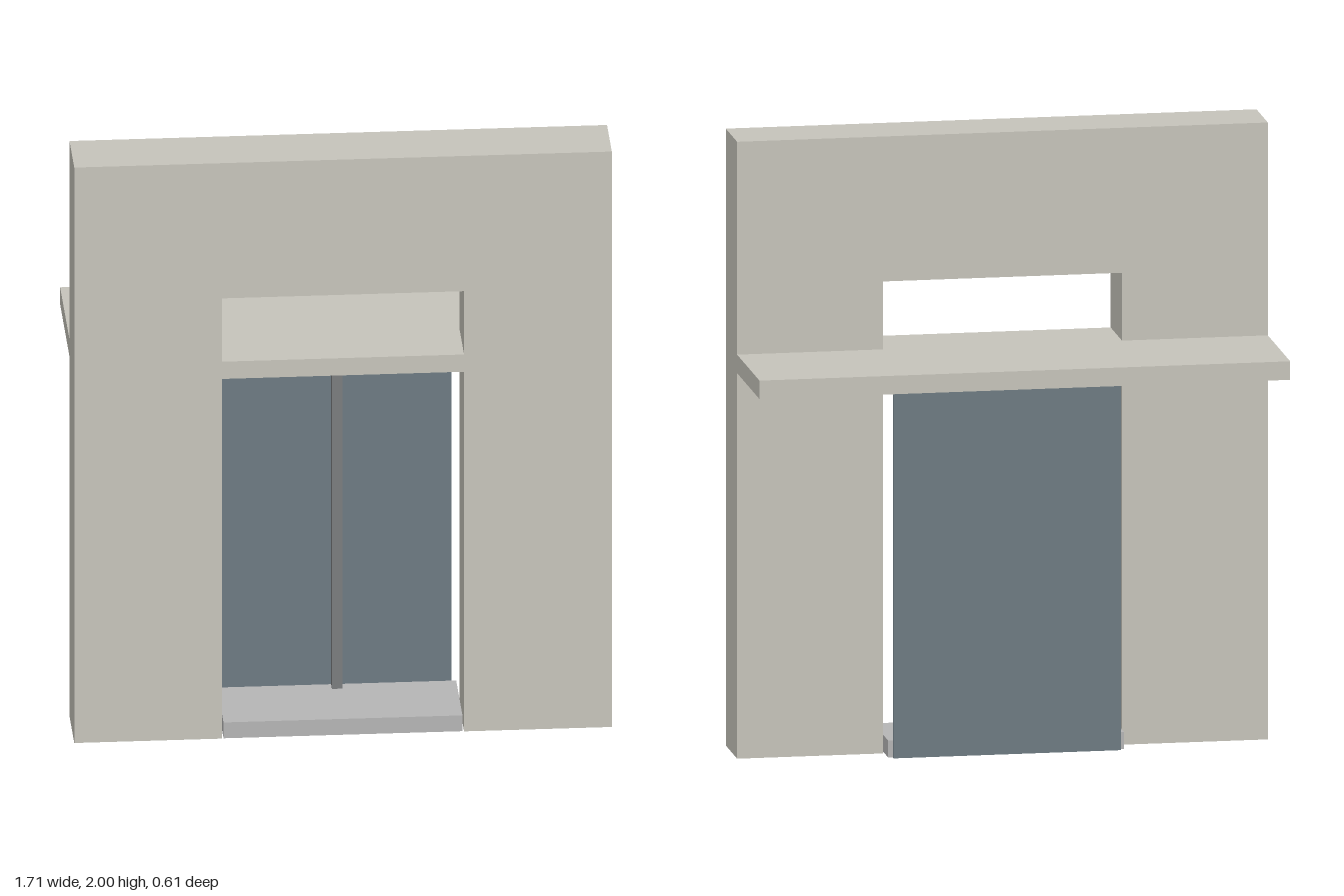
import * as THREE from 'three';

const material = (color) => new THREE.MeshStandardMaterial({ color });

export function createModel() {
  const model = new THREE.Group();
  const concrete = material(0xc9c7be);

  // Adds a box given by its minimum and maximum on each axis
  const addBox = (name, [x0, x1], [y0, y1], [z0, z1], mat) => {
    const mesh = new THREE.Mesh(new THREE.BoxGeometry(x1 - x0, y1 - y0, z1 - z0), mat);
    mesh.position.set((x0 + x1) / 2, (y0 + y1) / 2, (z0 + z1) / 2);
    mesh.name = name;
    model.add(mesh);
  };

  // Wall with the doorway notched out of its foot
  const outline = [
    [-0.855, 0], [-0.385, 0], [-0.385, 1.53], [0.385, 1.53],
    [0.385, 0], [0.855, 0], [0.855, 2], [-0.855, 2],
  ].map(([x, y]) => new THREE.Vector2(x, y));
  const wall = new THREE.Mesh(
    new THREE.ExtrudeGeometry(new THREE.Shape(outline), { depth: 0.207, bevelEnabled: false }),
    concrete
  );
  wall.position.z = 0.1;
  wall.name = 'wall';
  model.add(wall);

  // Canopy slab behind the wall, running on through the doorway as a transom
  addBox('canopy', [-0.855, 0.855], [1.25, 1.31], [-0.307, 0.1], concrete);
  addBox('transom', [-0.385, 0.385], [1.25, 1.31], [0.1, 0.307], concrete);

  // Threshold
  addBox('sill', [-0.38, 0.38], [0, 0.055], [0.033, 0.305], material(0xb8b8b8));

  // Door panel and the upright bar on its front
  addBox('doorPanel', [-0.368, 0.365], [0, 1.24], [0.018, 0.033], material(0x6f7c84));
  addBox('doorBar', [-0.018, 0.015], [0.055, 1.24], [0.033, 0.07], material(0x7c7e80));

  return model;
}
